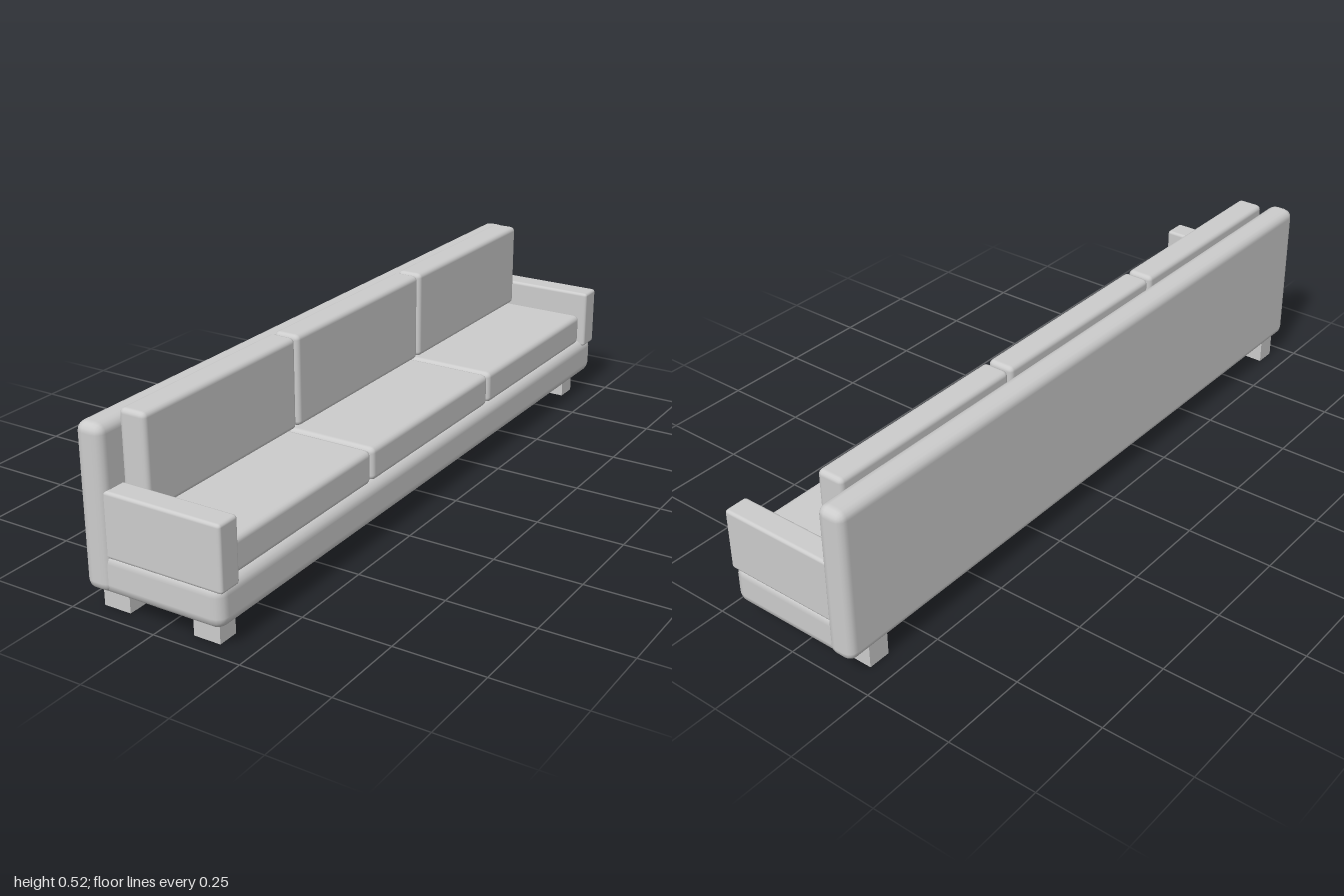
import * as THREE from 'three';
import { RoundedBoxGeometry } from 'three/addons/geometries/RoundedBoxGeometry.js';

export function createModel() {
  const sofa = new THREE.Group();
  sofa.name = 'sofa';
  const fabric = new THREE.MeshStandardMaterial({ color: 0xcccccc });
  fabric.name = 'light grey';

  // Adds a box given by its x, y and z ranges; radius 0 leaves the edges sharp
  function block(name, [x0, x1], [y0, y1], [z0, z1], radius = 0, segments = 2) {
    const size = [x1 - x0, y1 - y0, z1 - z0];
    const geometry = radius > 0
      ? new RoundedBoxGeometry(...size, segments, radius)
      : new THREE.BoxGeometry(...size);
    const mesh = new THREE.Mesh(geometry, fabric);
    mesh.name = name;
    mesh.position.set((x0 + x1) / 2, (y0 + y1) / 2, (z0 + z1) / 2);
    sofa.add(mesh);
  }

  // Long frame: base and backrest, seat facing +x
  block('base', [-0.2, 0.197], [0.057, 0.175], [-0.993, 0.993], 0.032);
  block('backrest', [-0.203, -0.126], [0.064, 0.498], [-1, 1], 0.026);

  // Three seat cushions with a back cushion behind each
  const seatEdges = [-0.92, -0.302, 0.328, 0.922];
  const backEdges = [-0.922, -0.307, 0.315, 0.928];
  for (let i = 0; i < 3; i++) {
    block('seatCushion', [-0.13, 0.183], [0.168, 0.262],
      [seatEdges[i] + 0.002, seatEdges[i + 1] - 0.002], 0.016);
    block('backCushion', [-0.132, -0.055], [0.264, 0.519],
      [backEdges[i] + 0.004, backEdges[i + 1] - 0.004], 0.014);
  }

  // Armrests
  block('armrest', [-0.142, 0.201], [0.157, 0.333], [0.921, 0.991], 0.009);
  block('armrest', [-0.142, 0.201], [0.157, 0.333], [-0.991, -0.921], 0.009);

  // Four square legs
  for (const z of [[0.892, 0.952], [-0.925, -0.861]]) {
    block('backLeg', [-0.189, -0.109], [0, 0.066], z);
    block('frontLeg', [0.083, 0.16], [0, 0.066], z);
  }

  return sofa;
}
